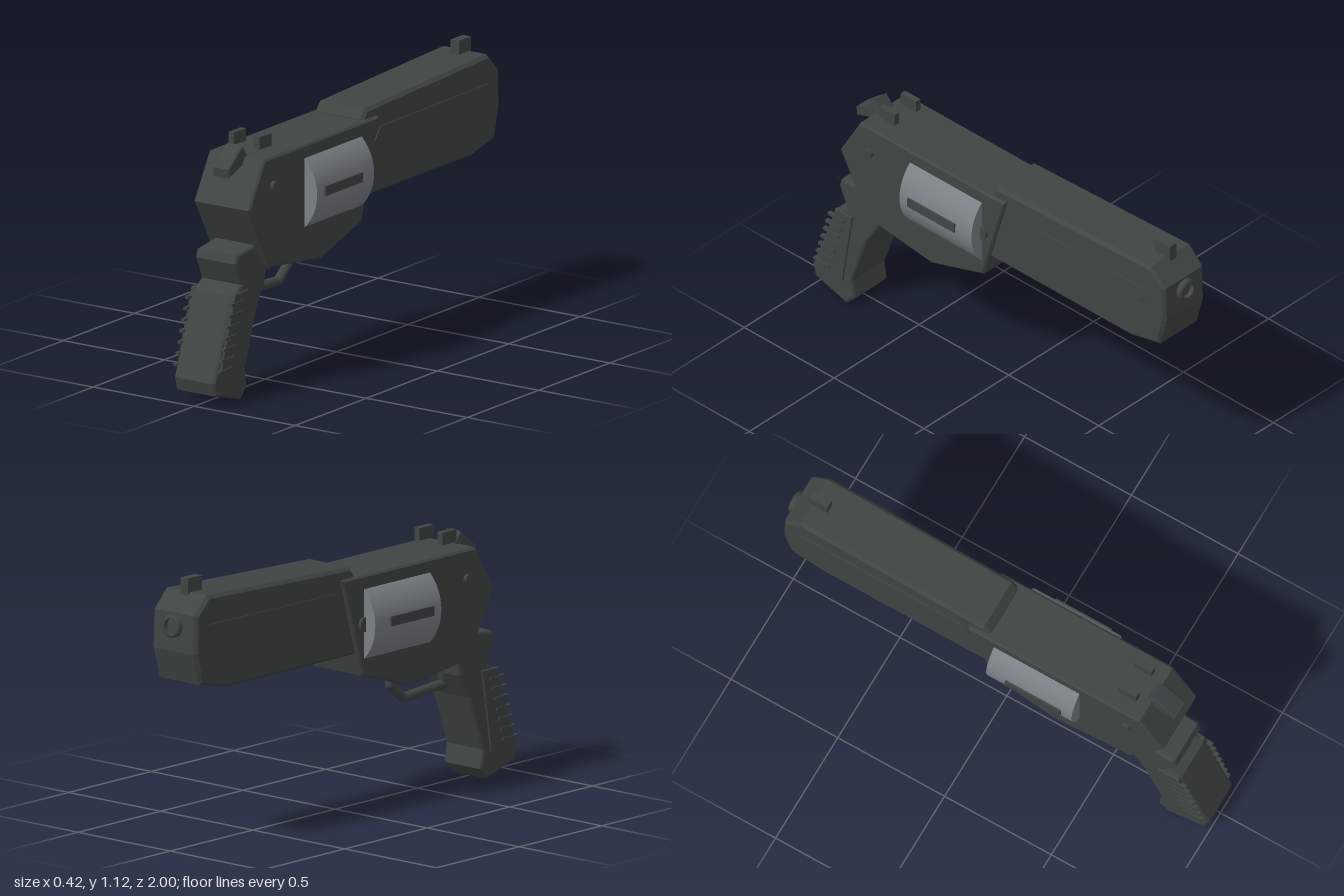
import * as THREE from 'three';

const gunmetal = new THREE.MeshStandardMaterial({ color: 0x3e4543 });
gunmetal.name = 'gunmetal';
const steel = new THREE.MeshStandardMaterial({ color: 0x7a8085 });
steel.name = 'steel';

export function createModel() {
  const group = new THREE.Group();

  function add(name, geometry, material = gunmetal) {
    const mesh = new THREE.Mesh(geometry, material);
    mesh.name = name;
    group.add(mesh);
    return mesh;
  }

  // Side profile of [z, y] points, extruded across x and bevelled inside its outline
  function slab(name, points, halfWidth, bevel = 0, x = 0, segments = 1) {
    const shape = new THREE.Shape(points.map(([z, y]) => new THREE.Vector2(-z, y)));
    const geometry = new THREE.ExtrudeGeometry(shape, {
      depth: 2 * (halfWidth - bevel), bevelEnabled: bevel > 0, bevelThickness: bevel,
      bevelSize: bevel, bevelOffset: -bevel, bevelSegments: segments,
    });
    geometry.translate(0, 0, bevel - halfWidth).rotateY(Math.PI / 2).translate(x, 0, 0);
    return add(name, geometry);
  }

  function box(name, x, y, z, w, h, d) {
    return add(name, new THREE.BoxGeometry(w, h, d).translate(x, y, z));
  }

  // Round bar between two [z, y] points on the centre plane
  function bar(name, a, b, radius) {
    const from = new THREE.Vector3(0, a[1], a[0]);
    const to = new THREE.Vector3(0, b[1], b[0]);
    const dir = to.clone().sub(from);
    const mesh = add(name, new THREE.CylinderGeometry(radius, radius, dir.length(), 12));
    mesh.position.copy(from).add(to).multiplyScalar(0.5);
    mesh.quaternion.setFromUnitVectors(new THREE.Vector3(0, 1, 0), dir.normalize());
  }

  // Frame and barrel
  slab('frame', [[0.70, 0.99], [0.81, 0.80], [0.66, 0.53], [0.30, 0.485],
    [0.015, 0.575], [-0.105, 0.99]], 0.138, 0.008);
  slab('barrel', [[0.02, 0.665], [-0.79, 0.665], [-0.945, 0.70], [-0.98, 0.83],
    [-0.975, 0.99], [-0.90, 1.065], [-0.04, 1.033], [-0.01, 0.995]], 0.12, 0.014);

  // Muzzle ring with a recessed bore
  const ring = [[0, 0.01], [0.032, 0.01], [0.032, 0.03], [0.04, 0.03], [0.047, 0.025], [0.047, 0]]
    .map(([r, h]) => new THREE.Vector2(r, h)).reverse();
  const muzzleSegments = ring.slice(1).map((p, i) =>
    new THREE.LatheGeometry([ring[i], p], 32));
  muzzleSegments.forEach((g) =>
    add('muzzle', g.rotateX(-Math.PI / 2).translate(0, 0.935, -0.97)));

  // Sights and hammer
  box('frontSight', 0, 1.085, -0.872, 0.04, 0.075, 0.085);
  slab('hammer', [[0.675, 0.985], [0.715, 1.04], [0.815, 0.96], [0.81, 0.92],
    [0.74, 0.945], [0.70, 0.96]], 0.04, 0.005);

  // Revolving cylinder
  add('cylinder', new THREE.CylinderGeometry(0.2, 0.2, 0.4, 64)
    .rotateX(Math.PI / 2).translate(0, 0.79, 0.22), steel);

  // Grip
  slab('grip', [[0.84, 0.615], [0.715, 0.632], [0.63, 0.54], [0.64, 0.46], [0.70, 0.36],
    [0.78, 0.13], [0.768, 0.05], [0.81, 0.003], [0.985, 0.055], [1.0, 0.11],
    [0.87, 0.45], [0.81, 0.485], [0.852, 0.58]], 0.102, 0.015, 0, 3);

  for (const side of [1, -1]) {
    box('rearSight', side * 0.063, 1.038, 0.607, 0.027, 0.052, 0.085);
    box('cylinderBar', side * 0.195, 0.795, 0.24, 0.026, 0.04, 0.26);
    // Raised panel on the barrel flank
    slab('barrelPanel', [[-0.08, 0.87], [-0.82, 0.835], [-0.90, 0.945], [-0.135, 0.94]],
      0.004, 0, side * 0.12);
    // Frame pins
    for (const [name, r, y, z, reach] of [['screw', 0.02, 0.87, 0.643, 0.154],
      ['cylinderPin', 0.03, 0.79, 0.018, 0.15]]) {
      add(name, new THREE.CylinderGeometry(r, r, 0.04, 20)
        .rotateZ(Math.PI / 2).translate(side * (reach - 0.02), y, z));
    }
    // Grip panel and its ribs
    slab('gripPanel', [[0.865, 0.46], [0.77, 0.46], [0.825, 0.115], [0.965, 0.155]],
      0.01, 0.003, side * 0.1);
    for (let i = 0; i < 7; i++) {
      const y = 0.42 - i * 0.044;
      const back = 0.89 + (0.46 - y) * 0.3;
      box('gripRib', side * 0.106, y, back - 0.045, 0.018, 0.011, 0.09);
    }
  }

  // Trigger and guard
  const guard = [[0.64, 0.49], [0.655, 0.412], [0.41, 0.395], [0.33, 0.462], [0.33, 0.51]];
  guard.slice(1).forEach((p, i) => bar('triggerGuard', guard[i], p, 0.02));
  guard.slice(1, -1).forEach(([z, y]) =>
    add('guardJoint', new THREE.SphereGeometry(0.02, 12, 8).translate(0, y, z)));
  bar('trigger', [0.56, 0.535], [0.483, 0.473], 0.016);

  return group;
}
